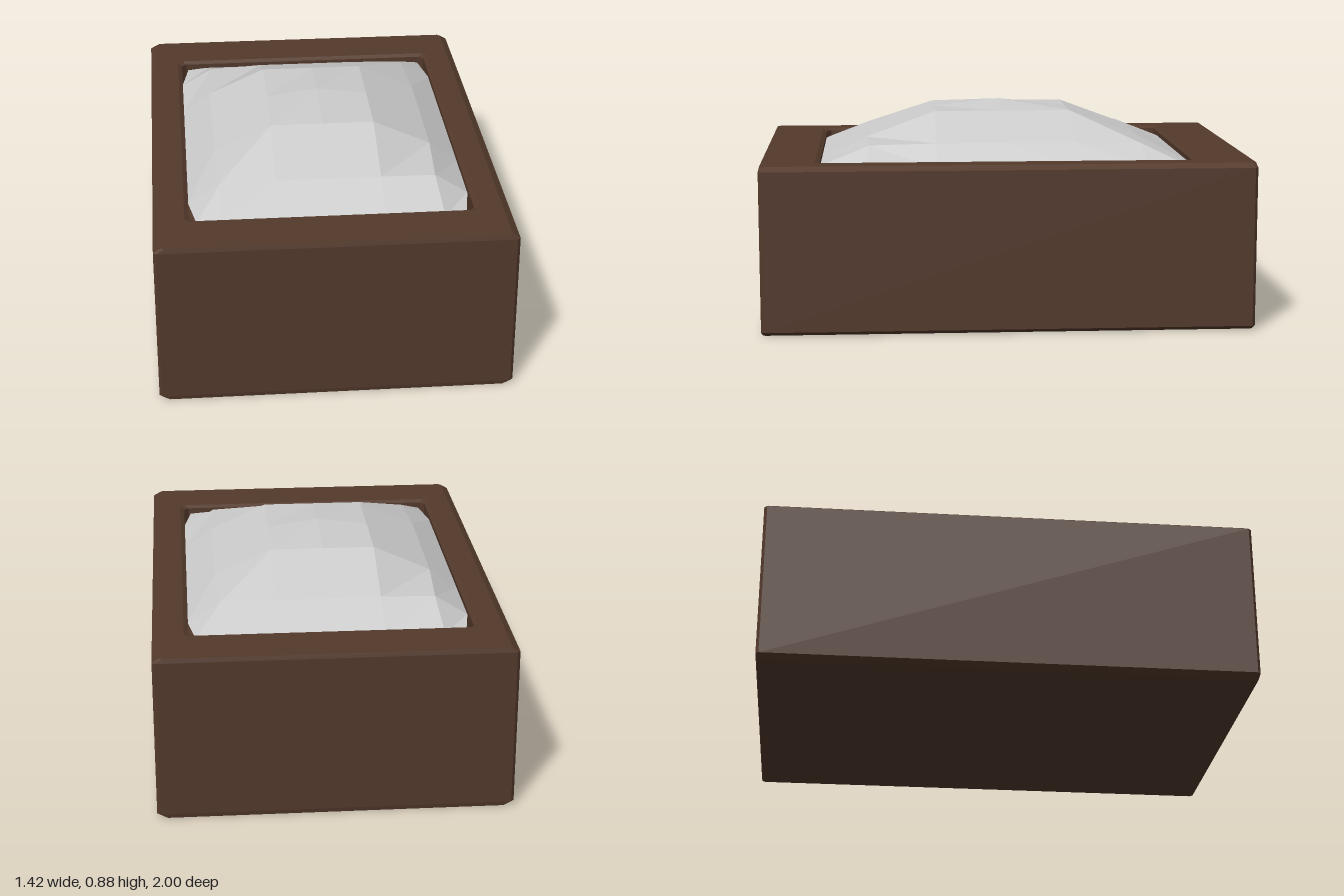
import * as THREE from 'three';

// Skin a stack of corner-cut rectangles: [halfX, halfZ, y, corner cut]
function skinLoops(sections) {
  const loops = sections.map(([hx, hz, y, c]) => [
    [hx, -hz + c], [hx - c, -hz], [-hx + c, -hz], [-hx, -hz + c],
    [-hx, hz - c], [-hx + c, hz], [hx - c, hz], [hx, hz - c],
  ].map(([x, z]) => [x, y, z]));
  const pos = [];
  for (let s = 0; s < loops.length - 1; s++) {
    for (let i = 0; i < 8; i++) {
      const j = (i + 1) % 8;
      const a = loops[s][i], b = loops[s][j], c = loops[s + 1][j], d = loops[s + 1][i];
      pos.push(...a, ...b, ...c, ...a, ...c, ...d);
    }
  }
  const geo = new THREE.BufferGeometry();
  geo.setAttribute('position', new THREE.Float32BufferAttribute(pos, 3));
  geo.computeVertexNormals();
  return geo;
}

// Faceted heap: square rings of a grid, each ring at its own height
function heapGeometry() {
  const xs = [0, 0.213, 0.45, 0.568];
  const zs = [0, 0.285, 0.575, 0.763];
  const ys = [0.88, 0.85, 0.743, 0.655];
  const geo = new THREE.PlaneGeometry(1, 1, 6, 6).rotateX(-Math.PI / 2);
  const p = geo.attributes.position;
  for (let k = 0; k < p.count; k++) {
    const i = (k % 7) - 3, j = Math.floor(k / 7) - 3;
    const a = Math.abs(i), b = Math.abs(j);
    let x = xs[a], z = zs[b], y = ys[Math.max(a, b)];
    // pull the diagonal corners in to round the plan
    if (a === b && a === 2) { x -= 0.015; z -= 0.012; y -= 0.008; }
    if (a === b && a === 3) { x -= 0.03; z -= 0.02; }
    p.setXYZ(k, Math.sign(i) * x, y, Math.sign(j) * z);
  }
  geo.computeVertexNormals();
  return geo;
}

export function createModel() {
  const group = new THREE.Group();

  // Chamfered box with a recessed opening in the top
  const box = new THREE.Mesh(
    skinLoops([
      [0, 0, 0, 0],
      [0.68, 0.996, 0, 0.012],
      [0.71, 1, 0.018, 0.012],
      [0.71, 1, 0.667, 0.012],
      [0.68, 0.996, 0.685, 0.012],
      [0.585, 0.78, 0.685, 0.02],
      [0.567, 0.762, 0.675, 0.02],
      [0.567, 0.762, 0.58, 0.02],
      [0, 0, 0.58, 0],
    ]),
    new THREE.MeshStandardMaterial({ color: 0x53392b, flatShading: true })
  );
  box.name = 'box';

  // Heap filling the opening
  const heap = new THREE.Mesh(
    heapGeometry(),
    new THREE.MeshStandardMaterial({ color: 0xcccccc, flatShading: true, side: THREE.DoubleSide })
  );
  heap.name = 'heap';

  group.add(box, heap);
  return group;
}
